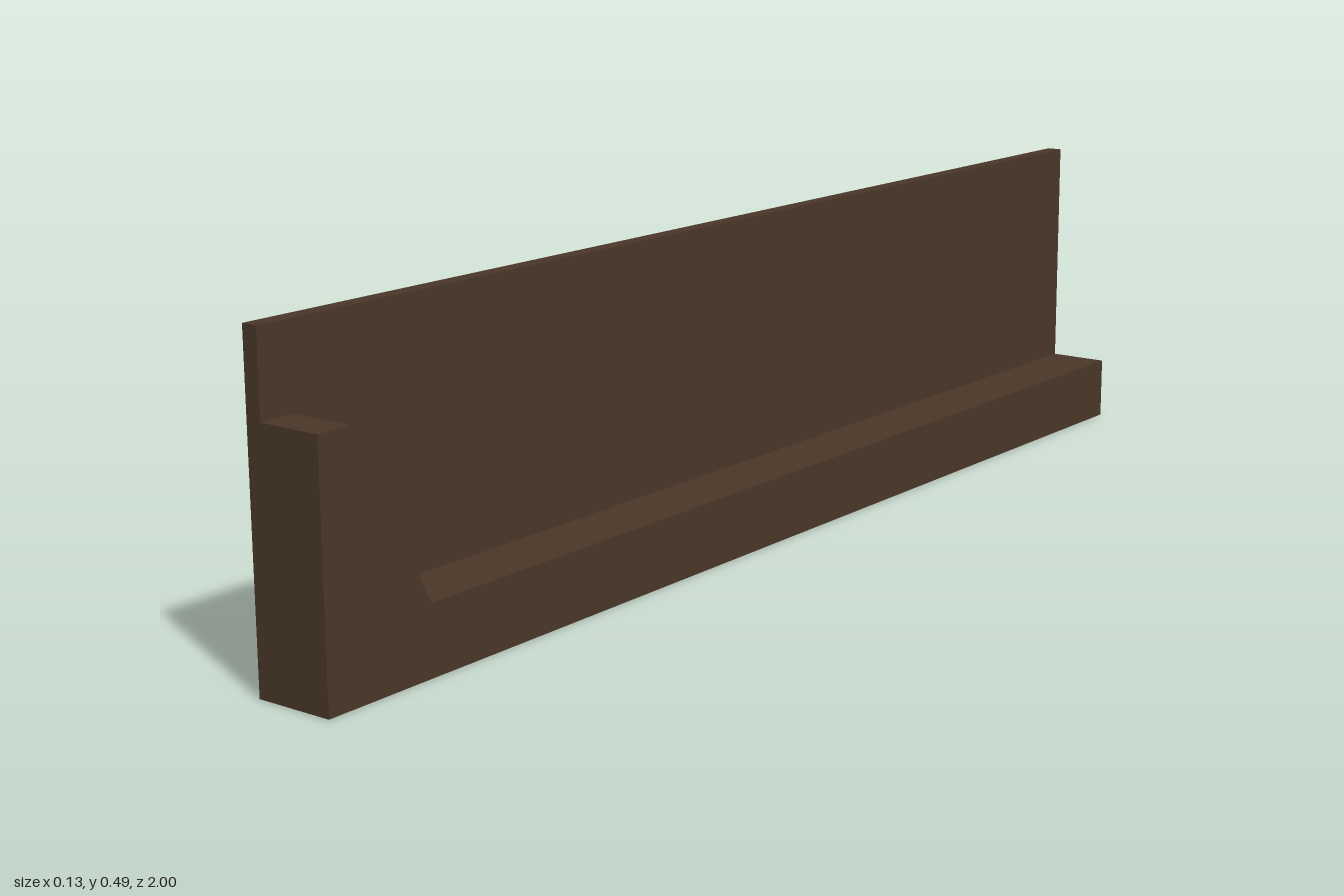
import * as THREE from 'three';

export function createModel() {
  const model = new THREE.Group();
  const wood = new THREE.MeshStandardMaterial({ color: 0x4a3728 });

  // Extrudes a side profile of [z, y] points across x, from x0 to x1
  function addSlab(name, profile, x0, x1) {
    const shape = new THREE.Shape(profile.map(([z, y]) => new THREE.Vector2(-z, y)));
    const geometry = new THREE.ExtrudeGeometry(shape, { depth: x1 - x0, bevelEnabled: false });
    geometry.rotateY(Math.PI / 2).translate(x0, 0, 0);
    const mesh = new THREE.Mesh(geometry, wood);
    mesh.name = name;
    model.add(mesh);
  }

  // Tall thin panel along the whole length
  addSlab('backPanel', [[1, 0], [-1, 0], [-1, 0.494], [1, 0.494]], -0.063, -0.038);

  // Low ledge that slopes up to a raised block at the front end
  addSlab('ledge', [[1, 0], [-1, 0], [-1, 0.104], [0.81, 0.104], [0.943, 0.37], [1, 0.37]], -0.038, 0.063);

  return model;
}
